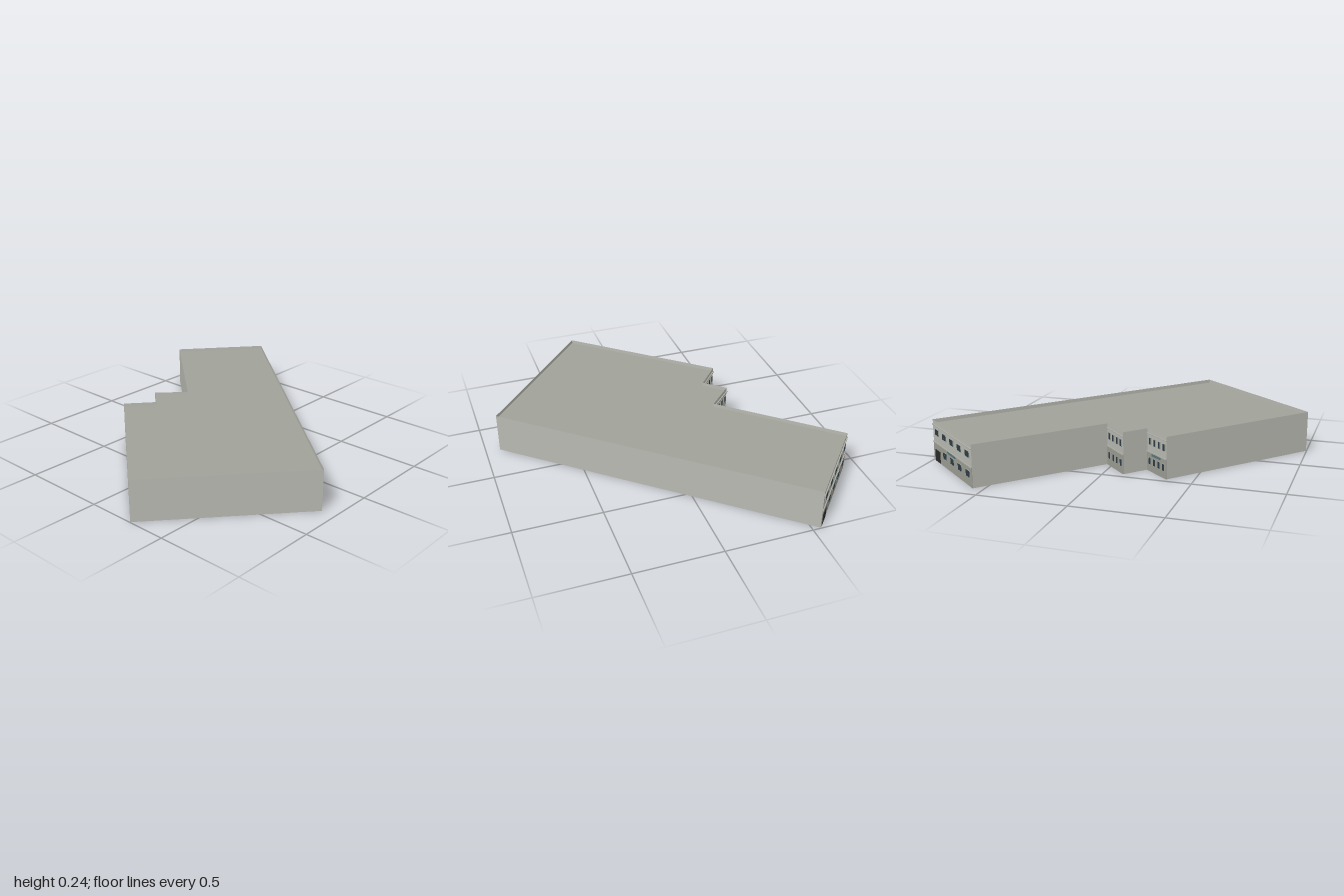
import * as THREE from 'three';

const HEIGHT = 0.237, ROOF_Y = 0.216, FLOOR_Y = 0.11;

// Footprint corners as [x, z], in the order that makes every wall face outward
const CORNERS = [
  [-0.545, -0.995], [-0.915, -0.56], [-0.32, -0.03], [-0.46, 0.11],
  [-0.345, 0.21], [-0.47, 0.355], [0.275, 0.997], [0.918, 0.26],
];

const mat = (color, side = THREE.FrontSide) =>
  new THREE.MeshStandardMaterial({ color, side, roughness: 0.9 });

const MATS = {
  wall: mat(0xb8b9b1, THREE.DoubleSide),
  lower: mat(0x9a9b92),
  trim: mat(0xaeafa6),
  frame: mat(0xa4a69e),
  glass: mat(0x2e3c45),
  door: mat(0x2a2a2a),
  panel: mat(0x56777a),
};

// Box centred at (x, y) on a wall, standing out from it by depth
function plate(parent, name, material, x, y, w, h, depth) {
  const mesh = new THREE.Mesh(new THREE.BoxGeometry(w, h, depth), material);
  mesh.name = name;
  mesh.position.set(x, y, depth / 2);
  parent.add(mesh);
}

// Window with a thin surround and one or more panes
function addWindow(parent, x, y, w, h, panes) {
  plate(parent, 'windowFrame', MATS.frame, x, y, w + 0.006, h + 0.006, 0.003);
  const pw = w / panes;
  for (let i = 0; i < panes; i++) {
    plate(parent, 'windowPane', MATS.glass, x + (i - (panes - 1) / 2) * pw, y, pw - 0.003, h, 0.004);
  }
}

// Painted ground floor, floor band and cornice of a decorated wall
function addBands(wall, length) {
  plate(wall, 'groundFloorFacing', MATS.lower, length / 2, FLOOR_Y / 2, length, FLOOR_Y, 0.002);
  plate(wall, 'floorBand', MATS.trim, length / 2, FLOOR_Y, length, 0.006, 0.005);
  plate(wall, 'cornice', MATS.trim, length / 2, 0.212, length, 0.006, 0.006);
}

// Gable end: five bays, the first one on the ground being a gate
function endFacade(wall, length) {
  addBands(wall, length);
  [0.11, 0.31, 0.505, 0.7, 0.9].forEach((t, i) => {
    addWindow(wall, t * length, 0.174, 0.052, 0.032, 2);
    if (i > 0) addWindow(wall, t * length, 0.066, 0.052, 0.034, 2);
  });
  plate(wall, 'gate', MATS.door, 0.11 * length, 0.036, 0.076, 0.068, 0.004);
  plate(wall, 'entrancePanel', MATS.panel, 0.5 * length, 0.103, 0.11, 0.012, 0.007);
}

// Recessed walls: two rows of narrow windows
function notchFacade(wall, length, withPanel) {
  addBands(wall, length);
  for (let i = 0; i < 4; i++) {
    const x = (0.16 + i * 0.235) * length;
    addWindow(wall, x, 0.172, 0.02, 0.036, 1);
    addWindow(wall, x, 0.06, 0.02, 0.036, 1);
  }
  if (withPanel) plate(wall, 'entrancePanel', MATS.panel, 0.5 * length, 0.1, 0.08, 0.012, 0.007);
}

export function createModel() {
  const model = new THREE.Group();
  model.name = 'building';

  // Thin walls that rise past the roof as a parapet
  CORNERS.forEach(([x, z], i) => {
    const [x2, z2] = CORNERS[(i + 1) % CORNERS.length];
    const length = Math.hypot(x2 - x, z2 - z);
    const wall = new THREE.Group();
    wall.name = 'wall' + (i + 1);
    wall.position.set(x, 0, z);
    wall.rotation.y = Math.atan2(z - z2, x2 - x);
    const face = new THREE.Mesh(new THREE.PlaneGeometry(length, HEIGHT), MATS.wall);
    face.name = 'wallFace';
    face.position.set(length / 2, HEIGHT / 2, 0);
    wall.add(face);
    if (i === 0) endFacade(wall, length);
    if (i === 2) notchFacade(wall, length, false);
    if (i === 4) notchFacade(wall, length, true);
    model.add(wall);
  });

  // Flat roof set just below the parapet; the underside is open
  const outline = new THREE.Shape(CORNERS.map(([x, z]) => new THREE.Vector2(x, -z)));
  const roof = new THREE.Mesh(new THREE.ShapeGeometry(outline), mat(0xa0a299, THREE.DoubleSide));
  roof.name = 'roof';
  roof.rotation.x = -Math.PI / 2;
  roof.position.y = ROOF_Y;
  model.add(roof);

  return model;
}
